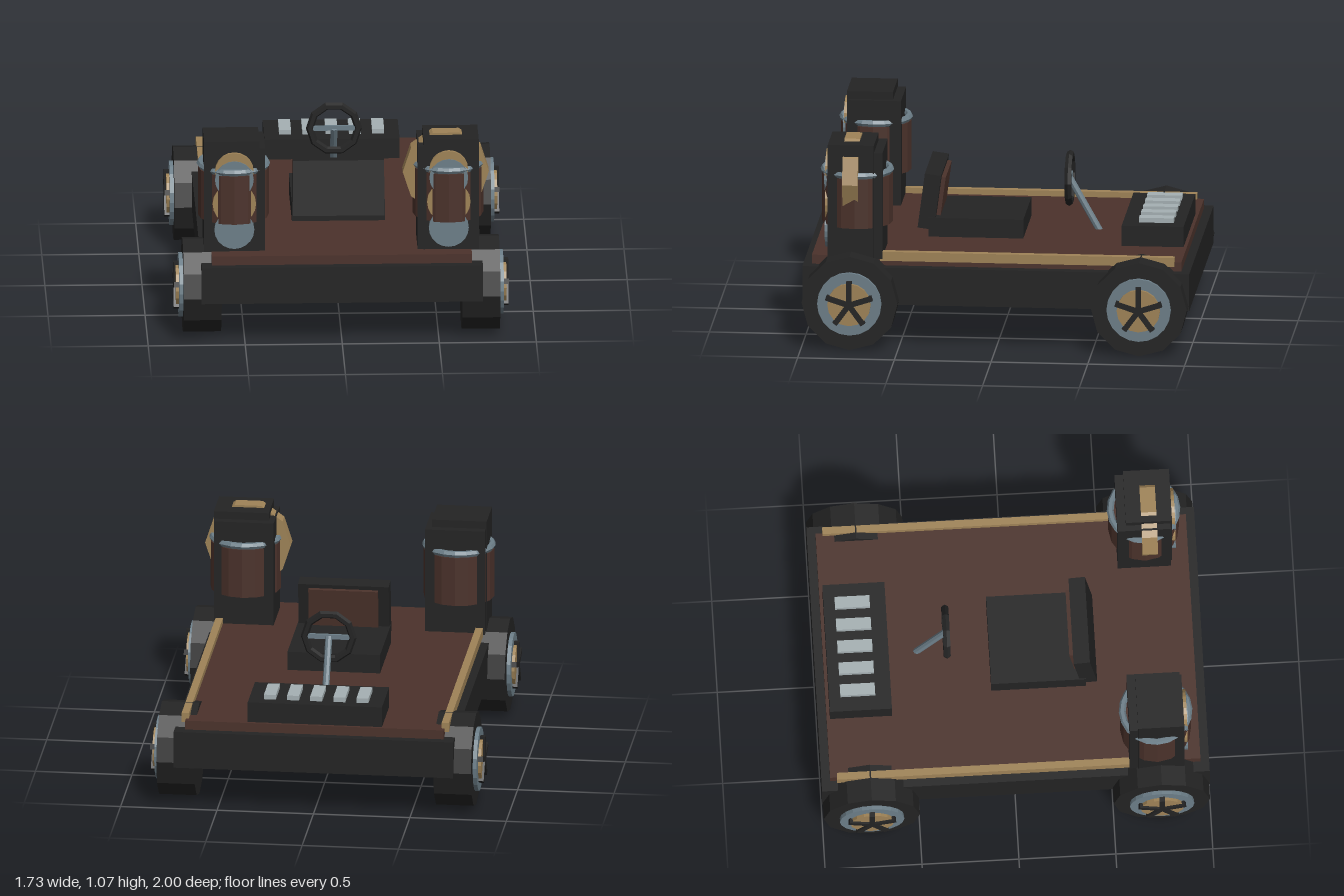
import * as THREE from 'three';

const mat = (name, color) => {
  const m = new THREE.MeshStandardMaterial({ color, flatShading: true });
  m.name = name;
  return m;
};

export function createModel() {
  const black = mat('black', 0x232323);
  const brown = mat('brown', 0x4b322b);
  const tan = mat('brass tan', 0x9f8357);
  const steel = mat('steel blue', 0x6c7e88);
  const silver = mat('light silver', 0xa5b0b3);

  const model = new THREE.Group();
  model.name = 'cart';

  const add = (parent, name, geometry, material, x = 0, y = 0, z = 0) => {
    const mesh = new THREE.Mesh(geometry, material);
    mesh.name = name;
    mesh.position.set(x, y, z);
    parent.add(mesh);
    return mesh;
  };
  // Box given by its limits on each axis
  const box = (parent, name, material, x0, x1, y0, y1, z0, z1) =>
    add(parent, name, new THREE.BoxGeometry(x1 - x0, y1 - y0, z1 - z0), material,
      (x0 + x1) / 2, (y0 + y1) / 2, (z0 + z1) / 2);
  const group = (name, x = 0, y = 0, z = 0) => {
    const g = new THREE.Group();
    g.name = name;
    g.position.set(x, y, z);
    model.add(g);
    return g;
  };

  // Chassis, deck and side rails
  box(model, 'chassis', black, -0.725, 0.725, 0.225, 0.42, -1, 1);
  box(model, 'deck', brown, -0.67, 0.67, 0.41, 0.468, -0.955, 0.955);
  for (const s of [-1, 1]) {
    add(model, 'sideRail', new THREE.BoxGeometry(0.038, 0.048, 1.52), tan, s * 0.674, 0.473, -0.16);
  }

  // Wheels: tyre, rim, hub disc and five spokes along the axle
  const axial = (r, h, n) => new THREE.CylinderGeometry(r, r, h, n).rotateZ(Math.PI / 2);
  for (const s of [-1, 1]) {
    for (const z of [-0.748, 0.748]) {
      const wheel = group('wheel', s * 0.718, 0.25, z);
      add(wheel, 'tyre', axial(0.248, 0.195, 12), black);
      add(wheel, 'rim', axial(0.166, 0.03, 20), steel, s * 0.103);
      add(wheel, 'hubDisc', axial(0.112, 0.03, 16), tan, s * 0.119);
      for (let i = 0; i < 5; i++) {
        const spoke = new THREE.BoxGeometry(0.03, 0.125, 0.028);
        spoke.translate(0, 0.0625, 0).rotateX(i * Math.PI * 2 / 5);
        add(wheel, 'spoke', spoke, black, s * 0.13);
      }
    }
  }

  // Seat with a tilted backrest and pad
  box(model, 'seatBase', black, -0.24, 0.24, 0.46, 0.567, -0.1, 0.39);
  const back = group('backrest', 0, 0.652, 0.386);
  back.rotation.x = -0.13;
  add(back, 'backPanel', new THREE.BoxGeometry(0.47, 0.29, 0.085), black);
  add(back, 'backPad', new THREE.BoxGeometry(0.36, 0.21, 0.022), brown, 0, 0.02, -0.053);

  // Steering wheel and sloping column
  const steering = group('steering', 0, 0.735, -0.32);
  add(steering, 'steeringWheel', new THREE.TorusGeometry(0.125, 0.02, 6, 10), black);
  add(steering, 'steeringCrossbar', new THREE.BoxGeometry(0.23, 0.025, 0.015), steel);
  const top = new THREE.Vector3(0, 0, 0);
  const foot = new THREE.Vector3(0, -0.29, -0.162);
  const dir = top.clone().sub(foot);
  const column = add(steering, 'steeringColumn',
    new THREE.CylinderGeometry(0.018, 0.018, dir.length(), 8), steel);
  column.position.copy(top).add(foot).multiplyScalar(0.5);
  column.quaternion.setFromUnitVectors(new THREE.Vector3(0, 1, 0), dir.normalize());

  // Rear vent box with five slats
  box(model, 'ventBox', black, -0.348, 0.348, 0.46, 0.575, -0.938, -0.618);
  for (let i = -2; i <= 2; i++) {
    const x = i * 0.12;
    box(model, 'ventSlat', silver, x - 0.031, x + 0.031, 0.57, 0.6, -0.88, -0.7);
  }

  // Front towers: stepped housing, drum, collar and overlapping face discs
  const disc = (r, h, n) => new THREE.CylinderGeometry(r, r, h, n).rotateX(Math.PI / 2);
  const faceDiscs = [
    ['lowerDisc', steel, 0.103, 0.59, 0.884],
    ['middleDisc', tan, 0.112, 0.73, 0.882],
    ['upperDisc', steel, 0.1, 0.862, 0.886],
    ['crownDisc', tan, 0.1, 0.905, 0.881],
  ];
  for (const s of [-1, 1]) {
    const tower = group(s < 0 ? 'rightTower' : 'leftTower', s * 0.5525, 0, 0);
    const outer = s * 0.155, inner = s * -0.13, step = s * -0.16;
    const span = (a, b) => [Math.min(a, b), Math.max(a, b)];
    box(tower, 'towerHousing', black, ...span(outer, inner), 0.46, 1.062, 0.632, 0.87);
    box(tower, 'towerStep', black, ...span(s * 0.15, step), 0.46, 1.022, 0.588, 0.862);
    add(tower, 'drum', new THREE.CylinderGeometry(0.183, 0.183, 0.26, 16), brown, 0, 0.755, 0.73);
    add(tower, 'collar', new THREE.TorusGeometry(0.172, 0.018, 6, 20).rotateX(Math.PI / 2),
      steel, 0, 0.903, 0.73);
    for (const [name, material, r, y, z] of faceDiscs) {
      add(tower, name, disc(r, 0.03, 20), material, 0, y, z - 0.008);
    }
  }

  // Ten-sided flywheel set through the left tower, corners pointing sideways
  add(model, 'flywheel', disc(0.222, 0.08, 10).rotateZ(Math.PI / 2), tan, 0.54, 0.862, 0.752);

  return model;
}
